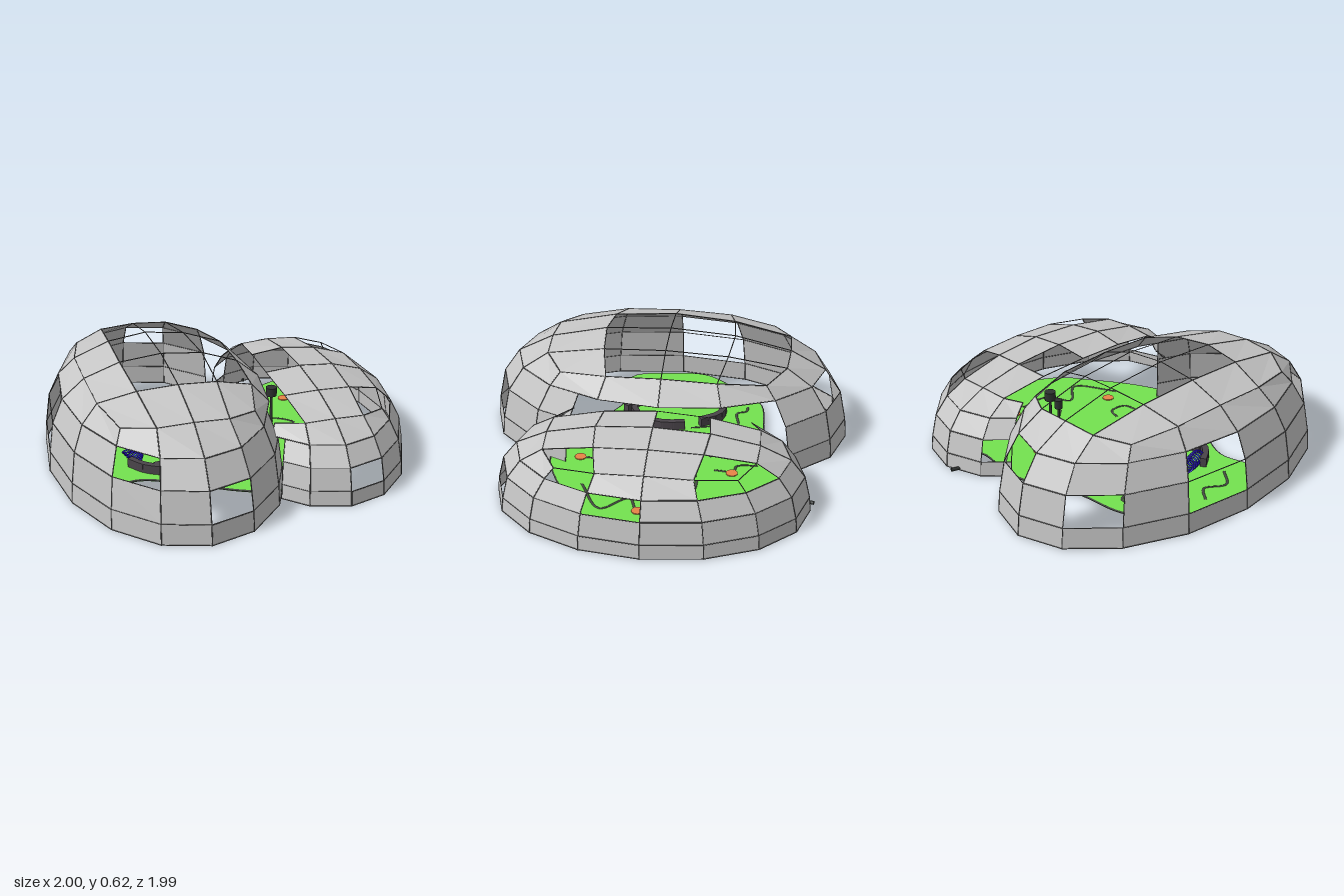
import * as THREE from 'three';
import { mergeGeometries } from 'three/addons/utils/BufferGeometryUtils.js';

const mat = (name, color, extra = {}) => {
  const m = new THREE.MeshStandardMaterial({ color, ...extra });
  m.name = name;
  return m;
};
const V = (x, y, z) => new THREE.Vector3(x, y, z);

// Unit dome: four side bands of sixteen columns, then a 4 x 4 patch on top.
const RINGS = [[1, 0], [0.99, 0.115], [0.955, 0.285], [0.865, 0.42]];
const TOP = { 20: [0.67, 0, 0.525], 21: [0.66, 0.3, 0.515], 22: [0.56, 0.56, 0.49],
  10: [0.36, 0, 0.595], 11: [0.34, 0.34, 0.575], '00': [0, 0, 0.618] };

function topPoint(p, q) {
  const ap = Math.abs(p), aq = Math.abs(q);
  const [big, small, y] = TOP[`${Math.max(ap, aq)}${Math.min(ap, aq)}`];
  const [a, b] = ap >= aq ? [big, small] : [small, big];
  return V(Math.sign(p) * a, y, Math.sign(q) * b);
}
function sidePoint(i, r) {
  const t = i * Math.PI / 8, c = Math.cos(t), s = Math.sin(t);
  if (r < 4) return V(c * RINGS[r][0], RINGS[r][1], s * RINGS[r][0]);
  const step = (v) => THREE.MathUtils.clamp(Math.round(2.7 * v), -2, 2);
  return topPoint(step(c), step(s));
}

// Thin bar along a panel edge
function bar(a, b, radius) {
  const d = b.clone().sub(a);
  const g = new THREE.CylinderGeometry(radius, radius, d.length(), 4, 1, true);
  g.applyQuaternion(new THREE.Quaternion().setFromUnitVectors(V(0, 1, 0), d.normalize()));
  const m = a.clone().add(b).multiplyScalar(0.5);
  return g.translate(m.x, Math.max(m.y, radius), m.z);
}

// open 'band:column' and openTop(p, q): panel missing, frame kept.
// keep(band, column): null for nothing, or the [from, to] part of the column that stands.
function makeDome(name, o, panelMat, frameMat) {
  const group = new THREE.Group();
  group.name = name;
  const cs = Math.cos(o.turn), sn = Math.sin(o.turn);
  const place = (v) => V(
    o.x + v.x * o.half * cs + v.z * o.long * sn,
    v.y * o.tall,
    o.z - v.x * o.half * sn + v.z * o.long * cs);
  const pos = [], bars = [], seen = new Set();
  const cell = (corners, filled) => {
    const [a, b, c, d] = corners.map(place);
    if (filled) for (const v of [a, c, b, a, d, c]) pos.push(v.x, v.y, v.z);
    [[a, b], [b, c], [c, d], [d, a]].forEach(([s, e]) => {
      const key = [s, e].map((v) => v.toArray().map((n) => Math.round(n * 500)).join()).sort().join('|');
      if (seen.has(key) || s.distanceTo(e) < 0.01) return;
      seen.add(key);
      bars.push(bar(s, e, 0.0028));
    });
  };
  for (let r = 0; r < 4; r++) for (let i = 0; i < 16; i++) {
    const keep = o.keep(r, i);
    if (!keep) continue;
    const at = (f, k) => sidePoint(i, k).lerp(sidePoint(i + 1, k), f);
    const [f, t] = keep;
    cell([at(f, r), at(t, r), at(t, r + 1), at(f, r + 1)], !o.open.includes(`${r}:${i}`));
  }
  for (let p = o.firstTop; p < 2; p++) for (let q = -2; q < 2; q++) {
    cell([topPoint(p, q), topPoint(p, q + 1), topPoint(p + 1, q + 1), topPoint(p + 1, q)], !o.openTop(p, q));
  }
  const g = new THREE.BufferGeometry();
  g.setAttribute('position', new THREE.Float32BufferAttribute(pos, 3));
  g.computeVertexNormals();
  const panels = new THREE.Mesh(g, panelMat);
  panels.name = 'domePanels';
  const frame = new THREE.Mesh(mergeGeometries(bars), frameMat);
  frame.name = 'domeFrame';
  group.add(panels, frame);
  return group;
}

export function createModel() {
  const root = new THREE.Group();
  root.name = 'twinDomeGarden';
  const panelMat = mat('panel grey', 0xc6c6c6, { side: THREE.DoubleSide, flatShading: true });
  const frameMat = mat('frame grey', 0x5c5c5c);
  const grass = mat('grass green', 0x74e24f);
  const pathMat = mat('path grey', 0x454b43);
  const wallMat = mat('wall grey', 0x4a444a);
  const orange = mat('orange', 0xea8648);
  const blue = mat('blue', 0x2a14e0);
  const dark = mat('dark grey', 0x2e3230);
  const add = (geo, material, name, x = 0, y = 0, z = 0) => {
    const m = new THREE.Mesh(geo, material);
    m.name = name;
    m.position.set(x, y, z);
    root.add(m);
    return m;
  };

  // Domes, each open where it meets the other
  root.add(makeDome('largeDome', {
    x: -0.335, z: 0.035, half: 0.63, long: 1.0, tall: 1, turn: 0.293, firstTop: -2,
    open: ['1:3', '1:8', '1:10', '2:5', '2:8', '2:12'],
    openTop: (p, q) => p >= -1 && q < 1,
    keep: (r, i) => (r === 3 ? [0, 1] : i === 1 ? [0.4, 1] : [14, 15, 0].includes(i) ? null : [0, 1]),
  }, panelMat, frameMat));
  root.add(makeDome('smallDome', {
    x: 0.42, z: -0.2, half: 0.541, long: 0.83, tall: 0.72, turn: 0.305, firstTop: -1,
    open: ['1:3', '1:10', '2:0', '3:1', '3:13', '3:14'],
    openTop: (p, q) => (p === -1 && q === -1) || (p === 1 && (q === -2 || q === 1)),
    keep: (r, i) => (i > 5 && i < 10 ? null
      : i === 5 ? [0, r === 3 ? 1 : 0.65] : i === 10 ? [0.35, 1] : [0, 1]),
  }, panelMat, frameMat));

  // Lawn with a dark rim
  const Y = 0.028;
  const edge = new THREE.CatmullRomCurve3([
    [0.7, 0.1], [0.79, -0.02], [0.83, -0.2], [0.79, -0.43], [0.72, -0.6], [0.56, -0.76], [0.41, -0.91],
    [0.28, -0.88], [0.17, -0.78], [-0.08, -0.74], [-0.3, -0.62], [-0.42, -0.51], [-0.72, -0.37],
    [-0.84, -0.15], [-0.91, 0.05], [-0.86, 0.22], [-0.73, 0.44], [-0.62, 0.45], [-0.44, 0.36],
    [-0.22, 0.39], [0.1, 0.47], [0.3, 0.47], [0.49, 0.34],
  ].map(([x, z]) => V(x, Y, z)), true);
  const outline = new THREE.Shape(edge.getPoints(100).map((p) => new THREE.Vector2(p.x, -p.z)));
  const lawnGeo = new THREE.ExtrudeGeometry(outline, { depth: 0.012, bevelEnabled: false });
  lawnGeo.rotateX(-Math.PI / 2);
  add(lawnGeo, grass, 'lawn', 0, Y - 0.012, 0);
  add(new THREE.TubeGeometry(edge, 120, 0.006, 5, true), pathMat, 'lawnRim', 0, -0.004, 0);

  // Winding paths
  const paths = [
    [[-0.65, -0.32], [-0.6, -0.33], [-0.56, -0.29], [-0.45, -0.34], [-0.3, -0.4], [-0.23, -0.43], [-0.19, -0.55]],
    [[-0.3, -0.11], [-0.37, -0.25], [-0.3, -0.32], [-0.24, -0.2], [-0.2, -0.1], [-0.15, -0.12], [-0.15, -0.3], [-0.05, -0.33]],
    [[0.04, 0.01], [-0.13, 0.03], [-0.14, 0.15], [-0.08, 0.23], [0.01, 0.27]],
    [[-0.08, -0.6], [-0.03, -0.5], [0.03, -0.5], [0.06, -0.4]],
    [[0.2, 0.05], [0.28, 0.06], [0.3, 0.15], [0.22, 0.2], [0.24, 0.32]],
    [[0.45, -0.55], [0.5, -0.65], [0.6, -0.68], [0.65, -0.6], [0.71, -0.62]],
    [[0.2, -0.36], [0.3, -0.38], [0.4, -0.33], [0.33, -0.27], [0.42, -0.2]],
    [[0.55, -0.38], [0.6, -0.2], [0.5, -0.1], [0.65, 0], [0.48, 0.19]],
    [[-0.8, 0.05], [-0.7, 0.1], [-0.72, 0.22], [-0.6, 0.28]],
  ];
  paths.forEach((pts) => {
    const g = new THREE.TubeGeometry(
      new THREE.CatmullRomCurve3(pts.map(([x, z]) => V(x, 0, z))), 40, 0.007, 5);
    add(g.scale(1, 0.4, 1), pathMat, 'path', 0, Y + 0.001, 0);
  });

  // Round orange markers, seen from both sides of the lawn
  [[-0.23, -0.43], [-0.16, -0.16], [0.04, 0.01], [-0.16, 0.29], [0.24, 0.32], [0.25, -0.26],
    [0.59, -0.19], [0.5, -0.45], [0.35, -0.65], [0.05, -0.5], [0.43, 0.11], [-0.7, -0.19]].forEach(([x, z]) =>
    add(new THREE.CylinderGeometry(0.032, 0.032, 0.022, 16), orange, 'marker', x, Y - 0.006, z));

  // Low curved walls made of straight blocks
  [[[-0.62, -0.17], [-0.55, -0.21], [-0.45, -0.22], [-0.35, -0.15]],
    [[-0.28, -0.07], [-0.23, 0.03], [-0.23, 0.13], [-0.28, 0.23], [-0.36, 0.27]],
    [[-0.5, 0.21], [-0.42, 0.27], [-0.31, 0.3]]].forEach((pts) => {
    const p = new THREE.CatmullRomCurve3(pts.map(([x, z]) => V(x, 0, z))).getSpacedPoints(7);
    for (let i = 0; i < 7; i++) {
      const d = p[i + 1].clone().sub(p[i]);
      const w = add(new THREE.BoxGeometry(d.length() + 0.014, 0.05, 0.034), wallMat, 'curvedWall',
        (p[i].x + p[i + 1].x) / 2, Y + 0.025, (p[i].z + p[i + 1].z) / 2);
      w.rotation.y = -Math.atan2(d.z, d.x);
    }
  });

  // Blue climbing frame of leaning hoops
  for (let i = 0; i < 7; i++) {
    const h = add(new THREE.TorusGeometry(0.034, 0.005, 5, 14), blue, 'climbingHoop',
      -0.52 + i * 0.012, Y + 0.035, 0.1 + i * 0.017);
    h.rotation.set(0.9, 0.3 + i * 0.15, 0);
  }

  // Dark posts with rounded heads
  [[0.16, -0.33, 0.022], [0.27, -0.33, 0.032]].forEach(([x, z, r]) => {
    add(new THREE.CylinderGeometry(0.008, 0.01, 0.18, 6), dark, 'post', x, Y + 0.09, z);
    add(new THREE.CylinderGeometry(r, r, 0.05, 10), dark, 'postHead', x, 0.225, z);
  });
  // Outlet pipe behind the domes
  add(new THREE.CylinderGeometry(0.01, 0.01, 0.05, 8).rotateX(Math.PI / 2), dark, 'outletPipe', 0.11, 0.01, -0.965);
  return root;
}
